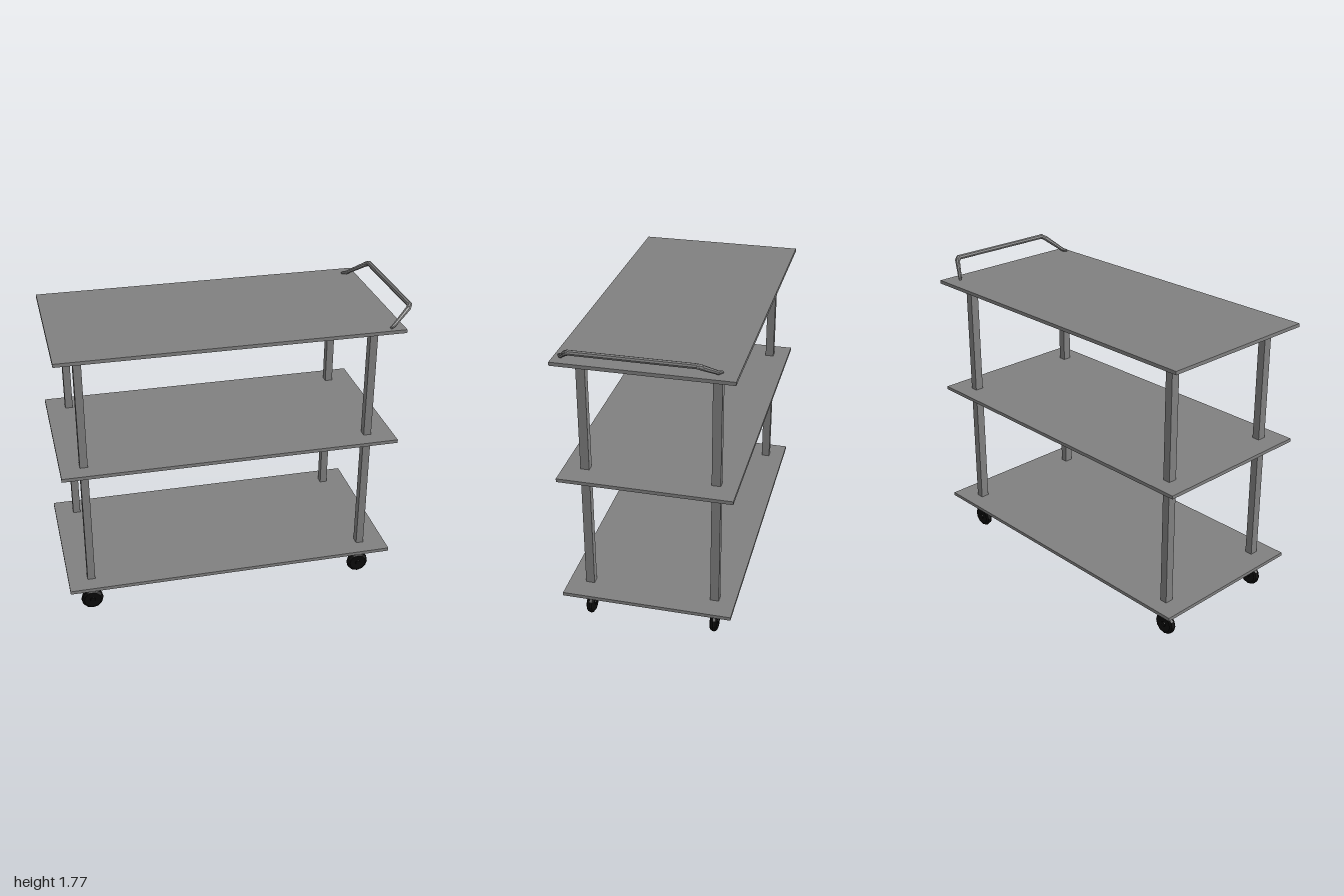
import * as THREE from 'three';

export function createModel() {
  const cart = new THREE.Group();
  cart.name = 'servingCart';

  const metal = new THREE.MeshStandardMaterial({ color: 0x808080 });
  metal.name = 'grey metal';
  metal.flatShading = true;
  const rubber = new THREE.MeshStandardMaterial({ color: 0x0a0a0a });
  rubber.name = 'black rubber';
  rubber.flatShading = true;

  const add = (name, geometry, material, x, y, z) => {
    const mesh = new THREE.Mesh(geometry, material);
    mesh.name = name;
    mesh.position.set(x, y, z);
    cart.add(mesh);
    return mesh;
  };

  // Three shelves
  const shelfGeo = new THREE.BoxGeometry(1.93, 0.02, 0.966);
  [['bottomShelf', 0.21], ['middleShelf', 0.965], ['topShelf', 1.655]].forEach(
    ([name, y]) => add(name, shelfGeo, metal, -0.035, y, -0.002));

  // Wheel: faceted tyre with rounded rim and a small raised hub, axle along z
  const profile = [
    [0, -0.025], [0.014, -0.024], [0.016, -0.019], [0.05, -0.021], [0.062, -0.013],
    [0.066, 0], [0.062, 0.013], [0.05, 0.021], [0.016, 0.019], [0.014, 0.024], [0, 0.025],
  ].map(([r, h]) => new THREE.Vector2(r, h));
  const wheelGeo = new THREE.LatheGeometry(profile, 12);
  wheelGeo.rotateX(Math.PI / 2);

  // Corner posts with a wheel under each
  const postGeo = new THREE.BoxGeometry(0.044, 1.53, 0.05);
  for (const [xSide, x] of [['Right', -0.867], ['Left', 0.779]]) {
    for (const [zSide, z] of [['front', 0.36], ['back', -0.367]]) {
      add(zSide + xSide + 'Post', postGeo, metal, x, 0.885, z);
      add(zSide + xSide + 'Wheel', wheelGeo, rubber, x, 0.066, z);
    }
  }

  // Push handle: bent rod with flattened feet resting on the top shelf
  const handle = new THREE.Group();
  handle.name = 'handle';
  cart.add(handle);
  const radius = 0.015;
  const midZ = 0.026;
  const half = [[0.847, 1.672, 0.426], [0.87, 1.677, 0.41], [0.969, 1.744, 0.35], [0.983, 1.756, 0.33]];
  const points = [
    ...half.map(([x, y, z]) => new THREE.Vector3(x, y, midZ + z)),
    ...half.slice().reverse().map(([x, y, z]) => new THREE.Vector3(x, y, midZ - z)),
  ];
  const up = new THREE.Vector3(0, 1, 0);
  const last = points.length - 1;
  const radiusAt = (i) => (i === 0 || i === last ? 0.008 : i === 1 || i === last - 1 ? 0.011 : radius);
  for (let i = 0; i < last; i++) {
    const a = points[i], b = points[i + 1];
    const dir = b.clone().sub(a);
    const rod = new THREE.Mesh(
      new THREE.CylinderGeometry(radiusAt(i + 1), radiusAt(i), dir.length(), 8), metal);
    rod.name = 'handleRod';
    rod.position.copy(a).add(b).multiplyScalar(0.5);
    rod.quaternion.setFromUnitVectors(up, dir.normalize());
    handle.add(rod);
    // Rounded joint at each bend
    if (i > 0) {
      const joint = new THREE.Mesh(new THREE.SphereGeometry(radiusAt(i), 8, 6), metal);
      joint.name = 'handleBend';
      joint.position.copy(a);
      handle.add(joint);
    }
  }

  return cart;
}
